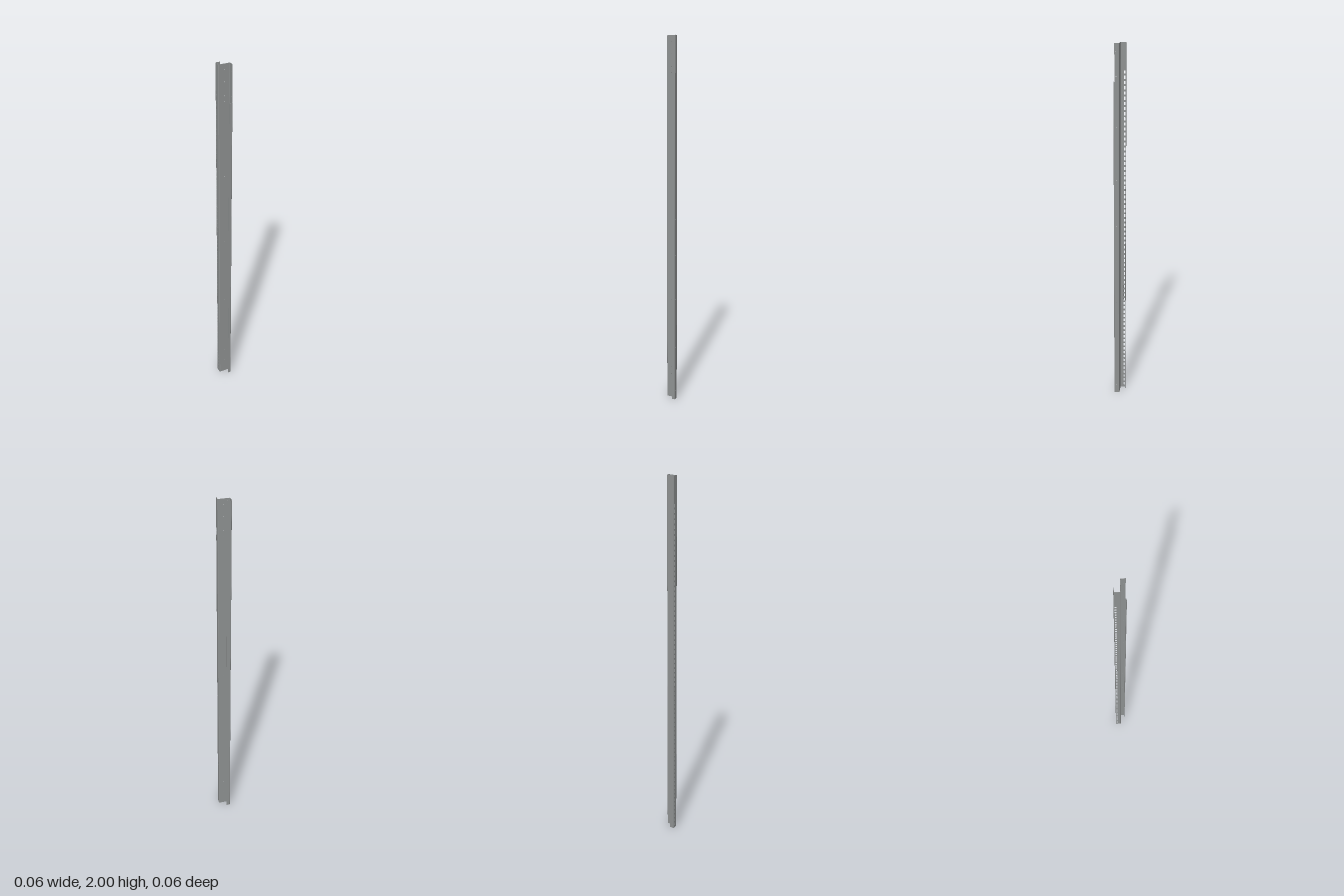
import * as THREE from 'three';
import { toCreasedNormals } from 'three/addons/utils/BufferGeometryUtils.js';

const H = 2, LIP_H = 1.81;      // full height, height of the front lip
const X = 0.031, Z = 0.03;      // outer half sizes of the Z section
const T = 0.0018, R = 0.0036;   // sheet thickness, outer bend radius
const WEB_REAR = 0, WEB_FRONT = WEB_REAR + T;

const material = new THREE.MeshStandardMaterial({ color: 0x8f9292 });

function addMesh(group, name, geometry) {
  const mesh = new THREE.Mesh(geometry, material);
  mesh.name = name;
  group.add(mesh);
}

function outline(points) {
  return new THREE.Shape(points.map(([u, y]) => new THREE.Vector2(u, y)));
}

const rect = (u0, u1, h) => outline([[u0, 0], [u1, 0], [u1, h], [u0, h]]);

function roundHoles(shape, u, radius, heights) {
  for (const y of heights) {
    shape.holes.push(new THREE.Path().absarc(u, y, radius, 0, Math.PI * 2, true));
  }
}

const sheet = (shape) =>
  new THREE.ExtrudeGeometry(shape, { depth: T, bevelEnabled: false, curveSegments: 10 });

// panel facing z, its rear face at z0
function panelZ(group, name, shape, z0) {
  addMesh(group, name, sheet(shape).translate(0, 0, z0));
}

// panel facing x, its +x face at x0; the shape's u runs along z
function panelX(group, name, shape, x0) {
  addMesh(group, name, sheet(shape).rotateY(-Math.PI / 2).translate(x0, 0, 0));
}

// quarter-round bend around the vertical axis through (cx, cz)
function bend(group, name, cx, cz, quarter, h) {
  const a = quarter * Math.PI / 2, b = a + Math.PI / 2;
  const s = new THREE.Shape();
  s.absarc(cx, -cz, R, a, b, false);
  s.absarc(cx, -cz, R - T, b, a, true);
  const g = new THREE.ExtrudeGeometry(s, { depth: h, bevelEnabled: false, curveSegments: 5 });
  addMesh(group, name, toCreasedNormals(g.rotateX(-Math.PI / 2), 0.6));
}

export function createModel() {
  const rail = new THREE.Group();
  rail.name = 'zProfileRail';

  // central web with small fixing holes
  const web = rect(-X + R, X - R, H);
  roundHoles(web, 0, 0.0016, [0.09, 0.14, 0.18, 0.58, 0.99, 1.4, 1.81, 1.84, 1.91, 1.97]);
  panelZ(rail, 'web', web, WEB_REAR);

  // rear flange with a row of slots
  const rearFlange = rect(-Z + R, WEB_FRONT - R, H);
  for (let i = 0; i < 70; i++) {
    const y = 0.016 + i * 0.0265, u0 = -0.0262, u1 = -0.0182;
    rearFlange.holes.push(outline([[u0, y], [u0, y + 0.017], [u1, y + 0.017], [u1, y]]));
  }
  panelX(rail, 'slottedRearFlange', rearFlange, -X + T);

  // rear lip
  panelZ(rail, 'rearLip', rect(-X + R, -0.0078, H), -Z);

  // front flange, cut back at the top where the lip ends
  const frontFlange = outline([
    [WEB_REAR + R, 0], [Z - R, 0], [Z - R, LIP_H], [0.025, LIP_H], [0.025, H], [WEB_REAR + R, H],
  ]);
  roundHoles(frontFlange, 0.0165, 0.0018, [0.05, 0.31, 0.59, 0.84, 1.04, 1.3, 1.58, 1.84, 1.96]);
  panelX(rail, 'frontFlange', frontFlange, X);

  // front lip
  panelZ(rail, 'frontLip', rect(0.013, X - R, LIP_H), Z - T);

  // rounded bends between the panels
  bend(rail, 'webToRearFlangeBend', -X + R, WEB_FRONT - R, 2, H);
  bend(rail, 'rearLipBend', -X + R, -Z + R, 1, H);
  bend(rail, 'webToFrontFlangeBend', X - R, WEB_REAR + R, 0, H);
  bend(rail, 'frontLipBend', X - R, Z - R, 3, LIP_H);

  return rail;
}
